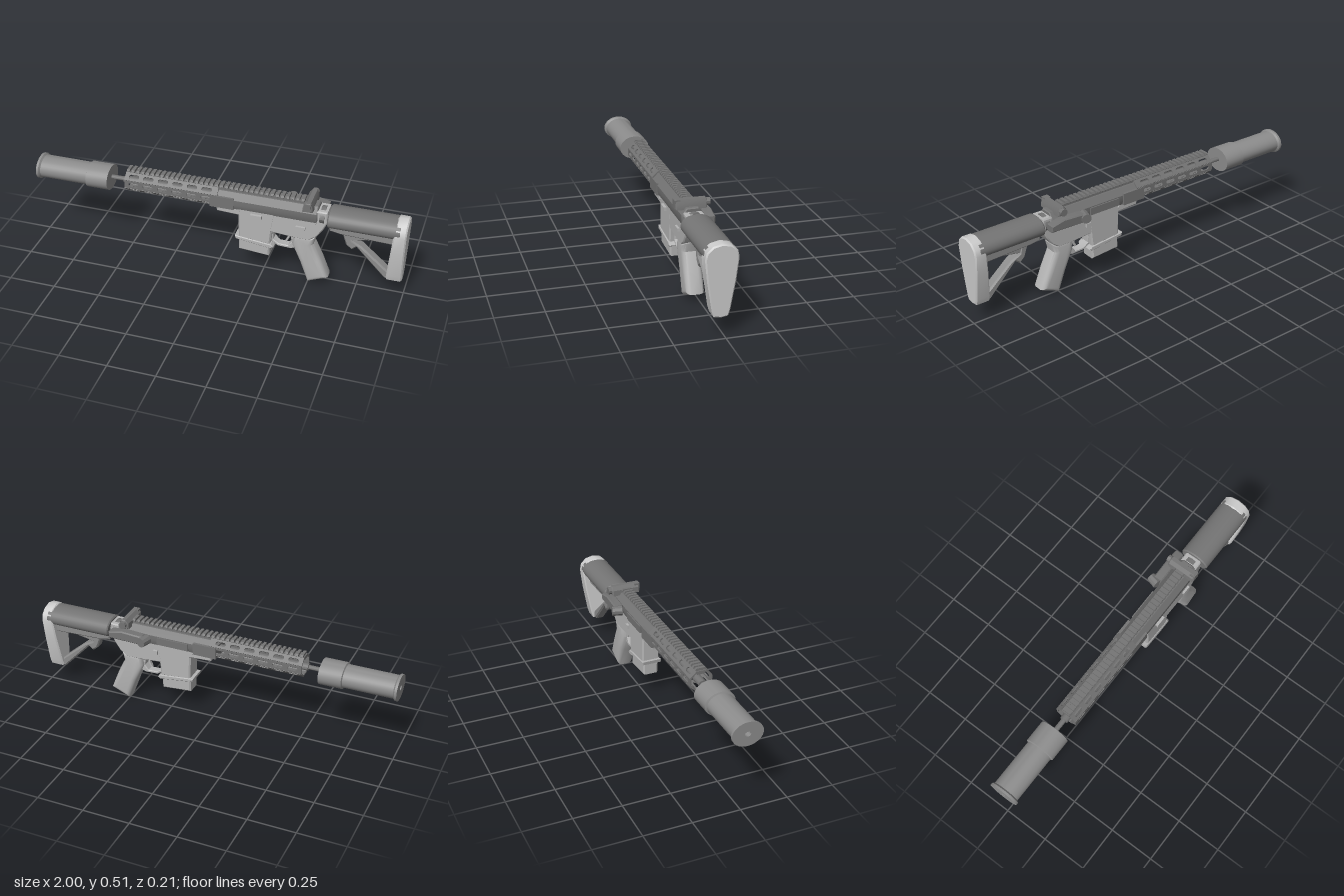
import * as THREE from 'three';
import { toCreasedNormals } from 'three/addons/utils/BufferGeometryUtils.js';

const ZC = 0.022; // centre plane of the body
const AXIS = 0.42; // height of the barrel axis
const paint = (color) => new THREE.MeshStandardMaterial({ color });

export function createModel() {
  const model = new THREE.Group();
  const light = paint(0xcccccc), satin = paint(0xb4b4b4), steel = paint(0x8c8c8c), dark = paint(0x747474);
  let mat = steel; // finish of the section being built

  const add = (name, geo, parent = model) => {
    const m = new THREE.Mesh(toCreasedNormals(geo, 0.6), mat);
    m.name = name;
    parent.add(m);
    return m;
  };
  const shapeOf = (pts) => new THREE.Shape(pts.map((p) => new THREE.Vector2(p[0], p[1])));
  const extrude = (shape, depth, bevel) => new THREE.ExtrudeGeometry(shape, {
    depth: depth - 2 * bevel, bevelEnabled: bevel > 0, bevelThickness: bevel,
    bevelSize: bevel, bevelOffset: -bevel, bevelSegments: bevel > 0.01 ? 4 : 1, curveSegments: 8,
  }).translate(0, 0, bevel - depth / 2);
  // Side profile in x,y with a width across z
  const slab = (name, pts, width, bevel = 0.006, holes = []) => {
    const s = shapeOf(pts);
    for (const h of holes) s.holes.push(new THREE.Path(h.map((p) => new THREE.Vector2(p[0], p[1]))));
    return add(name, extrude(s, width, bevel).translate(0, 0, ZC));
  };
  // Symmetric z,y section run along x
  const alongX = (shape, x0, x1, bevel = 0) =>
    extrude(shape, x1 - x0, bevel).rotateY(Math.PI / 2).translate((x0 + x1) / 2, 0, ZC);
  const box = (name, x0, x1, y0, y1, z0, z1) => add(name,
    new THREE.BoxGeometry(x1 - x0, y1 - y0, z1 - z0).translate((x0 + x1) / 2, (y0 + y1) / 2, (z0 + z1) / 2));
  // Turned part along x with an oval section: points are [x, radius] in rising x
  const turned = (name, pts, y, wide = 1.26, seg = 32) => add(name,
    new THREE.LatheGeometry(pts.map((p) => new THREE.Vector2(p[1], p[0])), seg)
      .rotateZ(-Math.PI / 2).scale(1, 1, wide).translate(0, y, ZC));

  // Muzzle cylinder with bore, end flange and rear sleeve
  turned('muzzleCylinder', [[-0.95, 0], [-0.95, 0.013], [-1, 0.013], [-1, 0.065], [-0.988, 0.065],
    [-0.98, 0.057], [-0.718, 0.057], [-0.714, 0.065], [-0.593, 0.065], [-0.593, 0]], AXIS);

  // Barrel
  mat = dark;
  turned('barrel', [[-0.61, 0], [-0.61, 0.011], [-0.52, 0.011], [-0.52, 0.018], [0.02, 0.018], [0.02, 0]], AXIS + 0.003, 1.26, 16);

  // Eight slotted plates wrapped around the barrel
  const guard = new THREE.Group();
  guard.name = 'handguard';
  model.add(guard);
  const ring = [];
  for (let i = 0; i < 8; i++) {
    const a = (i + 0.5) * Math.PI / 4;
    ring.push([ZC + 0.061 * Math.cos(a), 0.43 + 0.057 * Math.sin(a)]);
  }
  for (let i = 0; i < 8; i++) {
    const [z0, y0] = ring[i], [z1, y1] = ring[(i + 1) % 8];
    const w = Math.hypot(z1 - z0, y1 - y0);
    const plate = shapeOf([[-0.5, -w / 2], [0.01, -w / 2], [0.01, w / 2], [-0.5, w / 2]]);
    const h = w * 0.24;
    for (let k = 0; k < 6; k++) {
      const a = -0.478 + k * 0.08, b = a + 0.056;
      const slot = new THREE.Path();
      slot.moveTo(a + h, -h).lineTo(b - h, -h);
      slot.absarc(b - h, 0, h, -Math.PI / 2, Math.PI / 2);
      slot.lineTo(a + h, h);
      slot.absarc(a + h, 0, h, Math.PI / 2, Math.PI * 1.5);
      plate.holes.push(slot);
    }
    const m = add('handguardPlate', extrude(plate, 0.008, 0), guard);
    m.position.set(0, (y0 + y1) / 2, (z0 + z1) / 2);
    m.rotation.x = Math.atan2(z1 - z0, y1 - y0);
  }

  // Top rail with teeth
  box('railBase', -0.5, 0.48, 0.468, 0.486, ZC - 0.022, ZC + 0.022);
  for (let x = -0.495; x < 0.46; x += 0.027) {
    const tooth = shapeOf([[-0.022, 0.484], [0.022, 0.484], [0.03, 0.49], [0.024, 0.5], [-0.024, 0.5], [-0.03, 0.49]]);
    add('railTooth', alongX(tooth, x, x + 0.015));
  }

  // Upper receiver
  const upper = shapeOf([[-0.048, 0.385], [0.048, 0.385], [0.056, 0.41], [0.056, 0.44], [0.03, 0.474],
    [-0.03, 0.474], [-0.056, 0.44], [-0.056, 0.41]]);
  add('upperReceiver', alongX(upper, 0, 0.54, 0.005));
  box('receiverCollar', -0.03, 0.1, 0.385, 0.45, ZC - 0.063, ZC + 0.06);
  box('ejectionCover', 0.13, 0.31, 0.395, 0.435, ZC - 0.062, ZC - 0.05);

  // Rear sight across the rail
  slab('rearSight', [[0.465, 0.46], [0.52, 0.46], [0.517, 0.485], [0.507, 0.51], [0.485, 0.51], [0.468, 0.49]], 0.16, 0.006);
  box('sightKnobLeft', 0.475, 0.51, 0.465, 0.508, 0.075, 0.105);
  add('sightKnobRight', new THREE.CylinderGeometry(0.02, 0.02, 0.025, 10).rotateX(Math.PI / 2).translate(0.495, 0.485, -0.063));

  // Controls on the right side
  slab('sideBracket', [[0.37, 0.395], [0.575, 0.4], [0.575, 0.435], [0.5, 0.452], [0.38, 0.445]], 0.05, 0.006)
    .position.z = -0.08;
  const knob = add('assistKnob', new THREE.CylinderGeometry(0.026, 0.028, 0.055, 10).rotateX(-Math.PI / 2));
  knob.position.set(0.37, 0.421, -0.072);
  knob.rotation.y = -0.25;

  // Lower receiver, magazine well and magazine
  mat = satin;
  slab('lowerReceiver', [[0, 0.395], [0.005, 0.355], [0.12, 0.35], [0.3, 0.28], [0.43, 0.27], [0.5, 0.27],
    [0.54, 0.3], [0.57, 0.345], [0.595, 0.4], [0.59, 0.455], [0.53, 0.455], [0.5, 0.42], [0.1, 0.42]], 0.096);
  slab('magazineWell', [[0.12, 0.4], [0.125, 0.215], [0.295, 0.2], [0.305, 0.3], [0.32, 0.4]], 0.098, 0.008);
  slab('magazine', [[0.125, 0.24], [0.125, 0.135], [0.29, 0.122], [0.295, 0.24]], 0.086, 0.008);
  slab('magazineLip', [[0.105, 0.225], [0.11, 0.205], [0.3, 0.18], [0.315, 0.19], [0.3, 0.205]], 0.108, 0.004);
  box('boltCatch', 0.19, 0.25, 0.355, 0.375, ZC + 0.045, ZC + 0.064);
  box('magazineButton', 0.31, 0.335, 0.33, 0.352, ZC - 0.06, ZC - 0.04);
  for (const x of [0.12, 0.52]) {
    add('receiverPin', new THREE.CylinderGeometry(0.011, 0.011, 0.106, 12).rotateX(Math.PI / 2).translate(x, 0.375, ZC));
  }
  box('selectorLever', 0.43, 0.48, 0.335, 0.35, ZC + 0.04, ZC + 0.06);

  // Trigger and its guard
  slab('triggerGuard', [[0.29, 0.21], [0.33, 0.185], [0.4, 0.182], [0.45, 0.2], [0.45, 0.3], [0.29, 0.3]], 0.046, 0.004,
    [[[0.306, 0.22], [0.335, 0.2], [0.385, 0.198], [0.405, 0.225], [0.392, 0.28], [0.306, 0.28]]]);
  slab('trigger', [[0.372, 0.29], [0.378, 0.24], [0.366, 0.215], [0.376, 0.212], [0.39, 0.24], [0.392, 0.29]], 0.018, 0.002);

  // Pistol grip
  slab('grip', [[0.415, 0.29], [0.408, 0.225], [0.455, 0.12], [0.5, 0],
    [0.607, 0.045], [0.565, 0.15], [0.522, 0.24], [0.535, 0.29]], 0.095, 0.027);

  // Stock tube, its nut and the stock body
  mat = dark;
  turned('stockTube', [[0.52, 0], [0.52, 0.036], [0.62, 0.036], [0.62, 0]], 0.415, 1.3, 20);
  turned('stockNut', [[0.55, 0], [0.55, 0.045], [0.575, 0.045], [0.575, 0]], 0.415, 1.25, 12);
  const body = new THREE.Shape();
  body.moveTo(-0.05, 0.375).lineTo(0.05, 0.375);
  body.bezierCurveTo(0.085, 0.385, 0.09, 0.42, 0.065, 0.445);
  body.bezierCurveTo(0.035, 0.473, -0.035, 0.473, -0.065, 0.445);
  body.bezierCurveTo(-0.09, 0.42, -0.085, 0.385, -0.05, 0.375);
  add('stockBody', alongX(body, 0.595, 0.97, 0.006));

  // Underside of the stock and its diagonal strut
  mat = steel;
  slab('stockKeel', [[0.6, 0.385], [0.605, 0.345], [0.66, 0.335], [0.95, 0.325], [0.95, 0.385]], 0.086, 0.008);
  slab('stockRelease', [[0.68, 0.345], [0.69, 0.315], [0.71, 0.3], [0.85, 0.325], [0.86, 0.345]], 0.05, 0.005);
  slab('stockStrut', [[0.665, 0.345], [0.69, 0.27], [0.72, 0.245], [0.745, 0.265], [0.9, 0.105], [0.955, 0.12],
    [0.91, 0.155], [0.77, 0.275], [0.72, 0.3], [0.71, 0.34]], 0.058, 0.008);

  // Tapered butt plate, its front face leaning forward towards the toe
  mat = light;
  const butt = shapeOf([[-0.035, 0.108], [0, 0.102], [0.035, 0.108], [0.045, 0.14], [0.07, 0.29], [0.082, 0.4],
    [0.074, 0.435], [0.045, 0.462], [0, 0.473], [-0.045, 0.462], [-0.074, 0.435], [-0.082, 0.4], [-0.07, 0.29], [-0.045, 0.14]]);
  const geo = alongX(butt, 0.94, 1, 0.007);
  const p = geo.attributes.position;
  for (let i = 0; i < p.count; i++) {
    const drop = 0.473 - p.getY(i);
    p.setX(i, p.getX(i) - drop * (p.getX(i) < 0.965 ? 0.09 : 0.025));
  }
  add('buttPlate', geo);

  return model;
}
